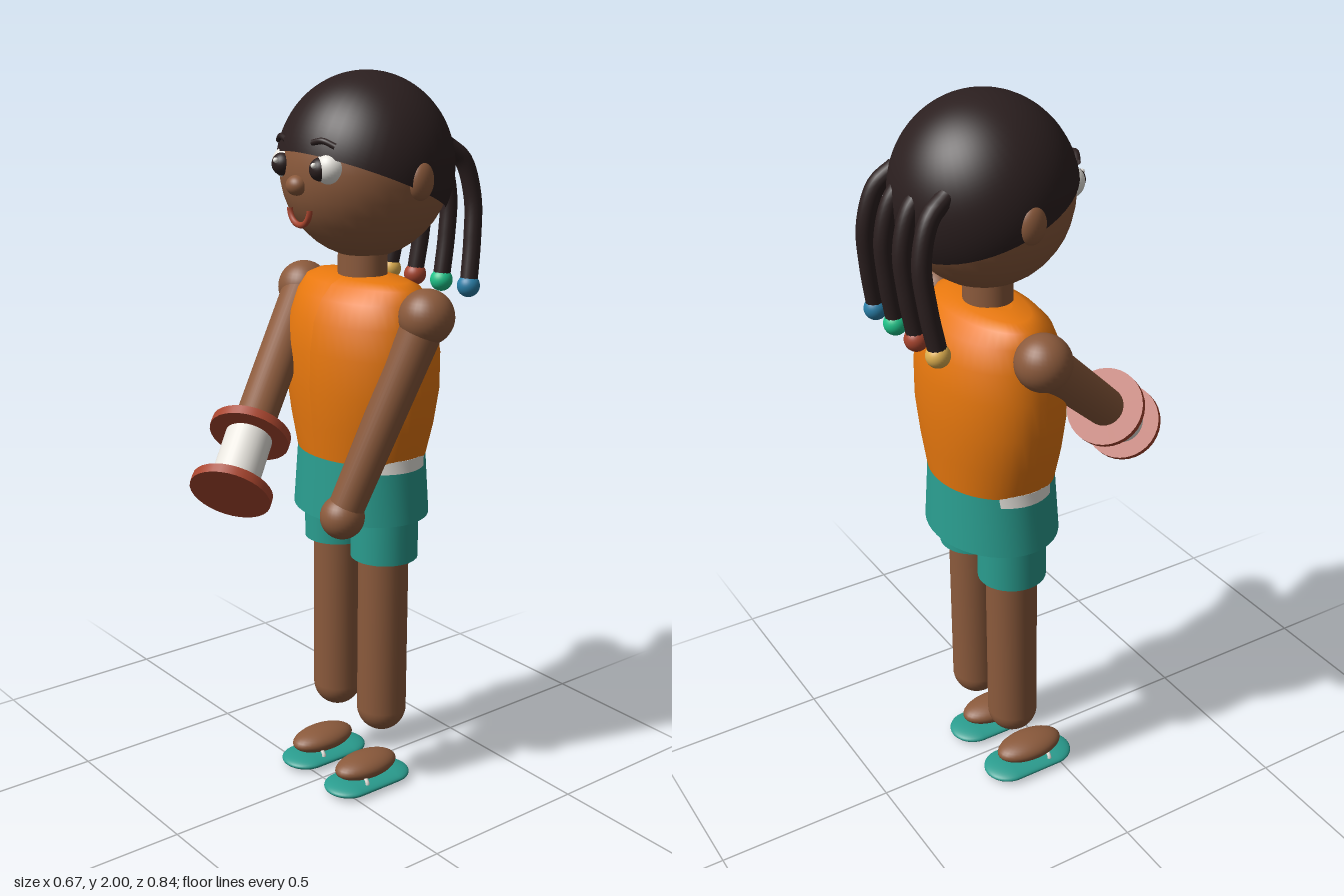
import * as THREE from 'three';

const mat = (name, color, side = THREE.FrontSide) => {
  const m = new THREE.MeshStandardMaterial({ color, side });
  m.name = name;
  return m;
};
const V = (x, y, z) => new THREE.Vector3(x, y, z);

export function createModel() {
  const skin = mat('brown skin', 0x8b5a3c);
  const hair = mat('dark hair', 0x2b1f1f, THREE.DoubleSide);
  const orange = mat('orange shirt', 0xe8780e);
  const teal = mat('teal cloth', 0x2a9d8f);
  const red = mat('clay red', 0xa8452e);
  const white = mat('off white', 0xf2efe8);
  const yellow = mat('yellow bead', 0xe0b050);
  const green = mat('green bead', 0x1fc48a);
  const blue = mat('blue bead', 0x2a7fa8);

  const model = new THREE.Group();
  model.name = 'girl';
  const Z = -0.133; // body axis depth

  const add = (name, geo, material, x = 0, y = 0, z = 0) => {
    const m = new THREE.Mesh(geo, material);
    m.name = name;
    m.position.set(x, y, z);
    model.add(m);
    return m;
  };
  const ball = (name, material, x, y, z, rx, ry = rx, rz = rx) =>
    add(name, new THREE.SphereGeometry(1, 32, 20).scale(rx, ry, rz), material, x, y, z);
  const rod = (name, material, a, b, ra, rb) => {
    const d = b.clone().sub(a);
    const m = add(name, new THREE.CylinderGeometry(rb, ra, d.length(), 32), material);
    m.position.copy(a).add(b).multiplyScalar(0.5);
    m.quaternion.setFromUnitVectors(V(0, 1, 0), d.normalize());
    return m;
  };
  const tube = (name, material, points, r) =>
    add(name, new THREE.TubeGeometry(new THREE.CatmullRomCurve3(points), 24, r, 12), material);

  // Elliptical rings [y, rx, rz] from bottom to top, closed at both ends
  const loft = (name, material, rings) => {
    const n = 48, pos = [], idx = [];
    const ring = ([y, rx, rz]) => {
      for (let i = 0; i <= n; i++) {
        const a = (i / n) * Math.PI * 2;
        pos.push(Math.sin(a) * rx, y, Math.cos(a) * rz);
      }
    };
    rings.forEach(ring);
    for (let j = 0; j < rings.length - 1; j++)
      for (let i = 0; i < n; i++) {
        const a = j * (n + 1) + i, b = a + n + 1;
        idx.push(a, a + 1, b, a + 1, b + 1, b);
      }
    [rings[0], rings[rings.length - 1]].forEach((r, top) => {
      const s = pos.length / 3;
      ring(r);
      pos.push(0, r[0], 0);
      for (let i = 0; i < n; i++)
        top ? idx.push(s + i, s + i + 1, s + n + 1) : idx.push(s + i + 1, s + i, s + n + 1);
    });
    const g = new THREE.BufferGeometry();
    g.setAttribute('position', new THREE.Float32BufferAttribute(pos, 3));
    g.setIndex(idx);
    g.computeVertexNormals();
    return add(name, g, material, 0, 0, Z);
  };

  // Head, tilted hair cap, neck
  ball('head', skin, 0, 1.755, -0.14, 0.226, 0.237, 0.226);
  const cap = new THREE.SphereGeometry(0.235, 48, 32, 0, Math.PI * 2, 0, 1.74);
  cap.rotateX(-0.38).scale(1, 1.043, 1);
  add('hairCap', cap, hair, 0, 1.755, -0.14);
  add('neck', new THREE.CylinderGeometry(0.073, 0.073, 0.14, 32).scale(1, 1, 0.85), skin, 0, 1.5, Z);

  // Face
  for (const s of [-1, 1]) {
    ball('ear', skin, s * 0.222, 1.738, -0.14, 0.026, 0.05, 0.037);
    ball('eyeWhite', white, s * 0.09, 1.77, 0.045, 0.042);
    ball('pupil', hair, s * 0.08, 1.768, 0.068, 0.03);
    ball('eyeGlint', white, s * 0.08 + 0.009, 1.78, 0.098, 0.007);
    tube('eyebrow', hair, [V(s * 0.12, 1.825, 0.052), V(s * 0.088, 1.838, 0.068), V(s * 0.055, 1.832, 0.075)], 0.008);
  }
  ball('nose', skin, 0, 1.722, 0.085, 0.03, 0.026, 0.026);
  add('mouth', new THREE.TorusGeometry(0.042, 0.008, 10, 24, Math.PI).rotateZ(Math.PI), red, 0, 1.662, 0.075);

  // Braids with beads
  [yellow, red, green, blue].forEach((bead, i) => {
    const x = [-0.14, -0.047, 0.047, 0.14][i], e = x * 1.17;
    tube('braid', hair, [V(x * 0.9, 1.81, -0.31), V(x * 0.97, 1.77, -0.36), V(x * 1.03, 1.67, -0.391),
      V(x * 1.1, 1.56, -0.385), V(e, 1.45, -0.368)], 0.024);
    ball('braidBead', bead, e, 1.437, -0.367, 0.031);
  });

  // Shirt, waistband and shorts
  loft('shirt', orange, [[0.99, 0.2, 0.16], [1.08, 0.228, 0.17], [1.18, 0.248, 0.178], [1.28, 0.25, 0.176],
    [1.36, 0.237, 0.164], [1.42, 0.222, 0.138], [1.455, 0.205, 0.105], [1.47, 0.17, 0.075], [1.475, 0.1, 0.04]]);
  loft('waistband', white, [[0.965, 0.206, 0.15], [1.0, 0.204, 0.15]]);
  loft('shorts', teal, [[0.82, 0.212, 0.17], [1.0, 0.2, 0.158]]);

  // Legs, feet and sandals
  for (const s of [-1, 1]) {
    add('shortsLeg', new THREE.CylinderGeometry(0.093, 0.093, 0.14, 32), teal, s * 0.105, 0.77, Z);
    add('leg', new THREE.CapsuleGeometry(0.07, 0.5, 12, 32), skin, s * 0.102, 0.487, Z);
    ball('foot', skin, s * 0.102, 0.065, -0.077, 0.058, 0.034, 0.102);
    const sole = new THREE.CapsuleGeometry(0.07, 0.135, 12, 32).rotateX(Math.PI / 2).scale(1, 0.26, 1);
    add('sandalSole', sole, teal, s * 0.102, 0.0182, -0.082);
    const strap = new THREE.TorusGeometry(0.055, 0.006, 8, 24, Math.PI).scale(1, 0.5, 1);
    add('sandalStrap', strap, white, s * 0.102, 0.035, -0.04);
  }

  // Hanging left arm
  const shoulder = (s) => V(s * 0.262, 1.398, -0.133);
  const hand = V(0.146, 0.862, 0.047);
  rod('leftArm', skin, shoulder(1), hand, 0.057, 0.048);
  ball('leftHand', skin, hand.x, hand.y, hand.z, 0.06);

  // Raised right arm holding the spool
  const near = V(-0.038, 1.08, 0.212), far = V(0.042, 0.965, 0.329);
  rod('rightArm', skin, shoulder(-1), near, 0.058, 0.054);
  for (const s of [-1, 1]) {
    const p = shoulder(s);
    ball('shoulder', skin, p.x, p.y, p.z, 0.073);
  }
  rod('spoolThread', white, near, far, 0.063, 0.063);
  const half = far.clone().sub(near).setLength(0.0125);
  for (const c of [near, far])
    rod('spoolFlange', red, c.clone().sub(half), c.clone().add(half), 0.108, 0.108);

  return model;
}
